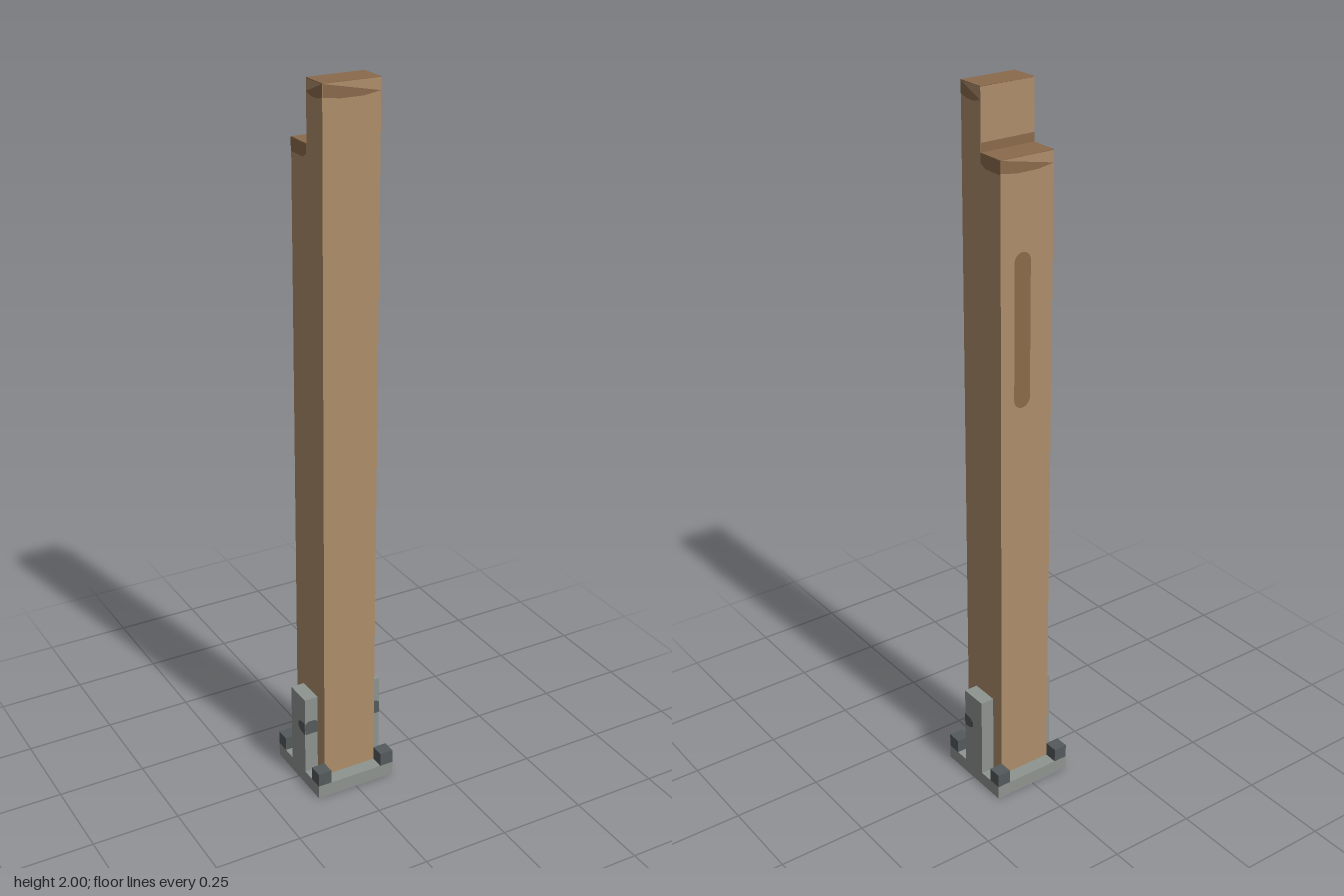
import * as THREE from 'three';

export function createModel() {
  const model = new THREE.Group();
  const mat = (name, color) => {
    const m = new THREE.MeshStandardMaterial({ color });
    m.name = name;
    return m;
  };
  const wood = mat('wood', 0xae8d6a);
  const darkWood = mat('dark wood', 0x8a6a4c);
  const steel = mat('steel', 0x8e9490);
  const darkSteel = mat('dark steel', 0x545a5c);

  const box = (name, material, w, h, d, x, y, z) => {
    const m = new THREE.Mesh(new THREE.BoxGeometry(w, h, d), material);
    m.name = name;
    m.position.set(x, y, z);
    model.add(m);
  };

  // flat painted face: outline in (u, y), set at a distance along the turned normal
  const paint = (name, material, outline, turn, distance) => {
    const shape = outline instanceof THREE.Shape
      ? outline
      : new THREE.Shape(outline.map(([u, v]) => new THREE.Vector2(u, v)));
    const m = new THREE.Mesh(new THREE.ShapeGeometry(shape, 8), material);
    m.name = name;
    m.rotation.y = turn;
    m.position.set(Math.sin(turn) * distance, 0, Math.cos(turn) * distance);
    model.add(m);
  };

  // post with a half-lap notch at the back of the top
  const profile = new THREE.Shape([[-0.08, 0.04], [0.08, 0.04], [0.08, 1.84], [0, 1.84], [0, 2], [-0.08, 2]]
    .map(([u, v]) => new THREE.Vector2(u, v)));
  const postGeometry = new THREE.ExtrudeGeometry(profile, { depth: 0.16, bevelEnabled: false });
  postGeometry.translate(0, 0, -0.08).rotateY(Math.PI / 2);
  const post = new THREE.Mesh(postGeometry, wood);
  post.name = 'post';
  model.add(post);

  // stained end grain on both top faces
  box('topEndGrain', darkWood, 0.16, 0.002, 0.08, 0, 2, 0.04);
  box('notchEndGrain', darkWood, 0.16, 0.002, 0.08, 0, 1.84, -0.04);

  // stain running a little way down the faces
  const band = (top, a, b) => [[a, top], [a, top - 0.032],
    [a + (b - a) * 0.3, top - 0.039], [a + (b - a) * 0.7, top - 0.039], [b, top - 0.032]];
  paint('frontStain', darkWood, band(2, -0.08, 0.08), 0, 0.081);
  paint('backStain', darkWood, band(1.84, -0.08, 0.08), Math.PI, 0.081);
  paint('notchWallStain', darkWood, [[-0.08, 1.84], [0.08, 1.84], [0.08, 1.865], [-0.08, 1.865]], Math.PI, 0.001);
  for (const s of [-1, 1]) {
    const turn = s * Math.PI / 2;
    paint('sideTopStain', darkWood, band(2, -s * 0.08, 0), turn, 0.081);
    paint('sideNotchStain', darkWood,
      [[0, 1.84], [0, 1.815], [s * 0.02, 1.805], [s * 0.08, 1.805], [s * 0.08, 1.84]], turn, 0.081);
  }

  // long rounded mark on the back face
  const slot = new THREE.Shape();
  slot.absarc(-0.014, 1.575, 0.025, 0, Math.PI);
  slot.absarc(-0.014, 1.205, 0.025, Math.PI, Math.PI * 2);
  paint('backMark', darkWood, slot, Math.PI, 0.081);

  // foot: base plate, side brackets, corner blocks and bolt marks
  box('basePlate', steel, 0.24, 0.04, 0.24, 0, 0.02, 0);
  for (const s of [-1, 1]) {
    box('bracket', steel, 0.04, 0.24, 0.08, s * 0.1, 0.16, 0);
    for (const t of [-1, 1]) box('cornerBlock', darkSteel, 0.04, 0.04, 0.04, s * 0.1, 0.06, t * 0.1);
    const c = s * 0.1;
    paint('boltFront', darkSteel, [[c - 0.02, 0.165], [c + 0.02, 0.165], [c + 0.02, 0.2],
      [c + 0.01, 0.207], [c - 0.01, 0.207], [c - 0.02, 0.2]], 0, 0.041);
    paint('boltSide', darkSteel, [[-s * 0.04, 0.165], [-s * 0.015, 0.168], [-s * 0.002, 0.177],
      [-s * 0.002, 0.191], [-s * 0.015, 0.2], [-s * 0.04, 0.203]], s * Math.PI / 2, 0.121);
  }
  return model;
}
